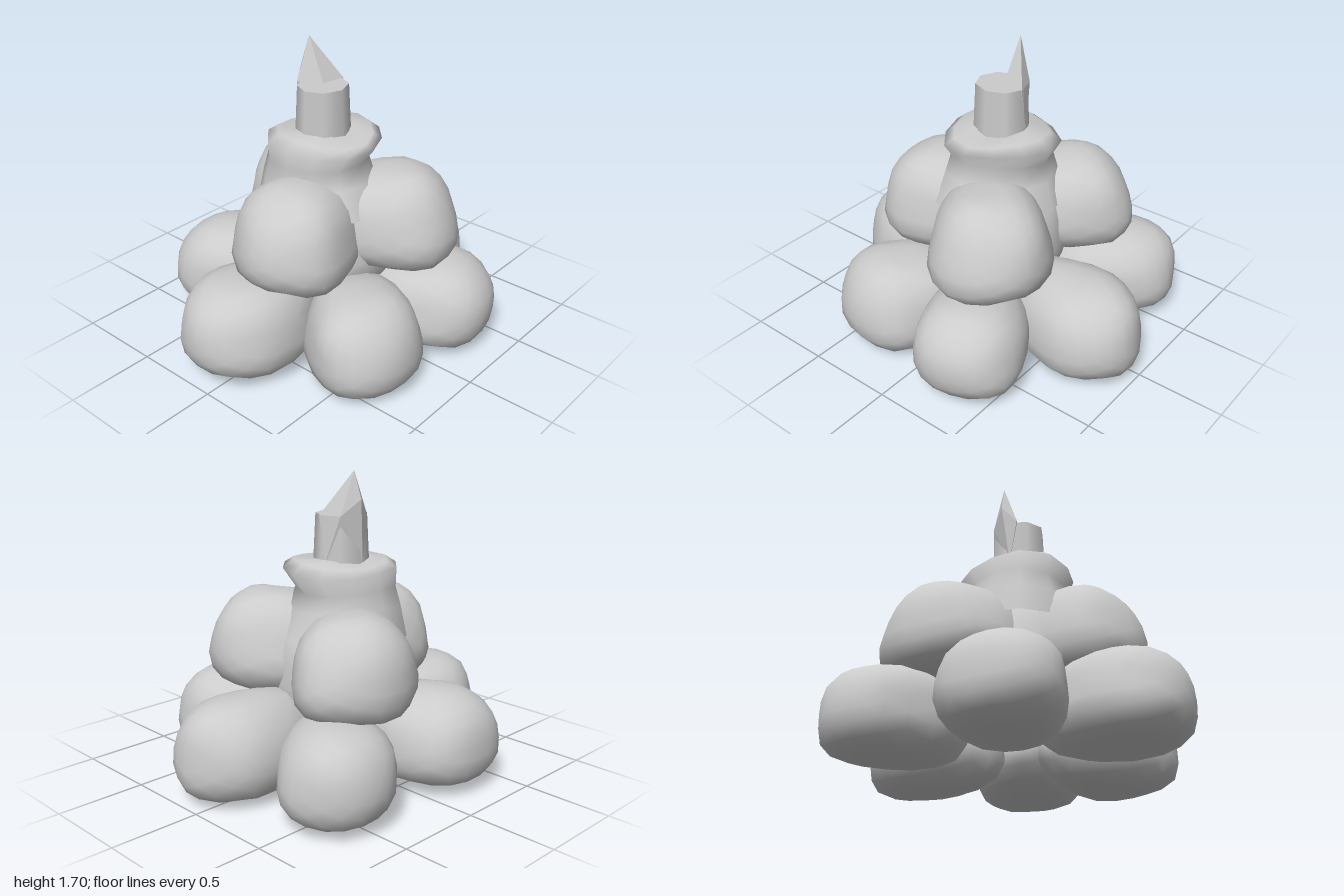
import * as THREE from 'three';
import { mergeVertices } from 'three/addons/utils/BufferGeometryUtils.js';
import { ConvexGeometry } from 'three/addons/geometries/ConvexGeometry.js';

const grey = new THREE.MeshStandardMaterial({ color: 0xcccccc, side: THREE.DoubleSide });

// A coarse lumpy ball filling the given extents: round on top, squarer below,
// narrowed upward by taper and stretched toward the model's axis by reach
function lump(name, [x0, x1], [y0, y1], [z0, z1], seed, taper, reach) {
  const geo = new THREE.IcosahedronGeometry(1, 3);
  geo.deleteAttribute('uv');
  geo.deleteAttribute('normal');
  const ball = mergeVertices(geo, 1e-4);
  const p = ball.attributes.position;
  const v = new THREE.Vector3();
  const cx = (x0 + x1) / 2, cy = (y0 + y1) / 2, cz = (z0 + z1) / 2;
  const dist = Math.hypot(cx, cz) || 1;
  for (let i = 0; i < p.count; i++) {
    v.fromBufferAttribute(p, i).normalize();
    const n = Math.sin(v.x * 4.1 + seed * 1.7) * Math.sin(v.y * 3.7 + seed) + Math.sin(v.z * 4.3 + seed * 2.3) * Math.sin(v.x * 3 - seed);
    const e = v.y < 0 ? 3.8 : 2.6;
    const k = (Math.hypot(v.x, v.z) ** e + Math.abs(v.y) ** e) ** (-1 / e);
    v.multiplyScalar(k * (1 + 0.03 * n));
    const inward = Math.max(0, -(v.x * cx + v.z * cz) / dist) * reach / dist;
    const width = 1 - taper * Math.max(0, v.y + 0.4);
    // the upper part also leans toward the axis
    const lean = 1 - inward - taper * 0.2 * Math.max(0, v.y);
    p.setXYZ(i,
      cx * lean + v.x * width * (x1 - x0) / 2,
      Math.min(y1, Math.max(y0, cy + v.y * (y1 - y0) / 2)),
      cz * lean + v.z * width * (z1 - z0) / 2);
  }
  ball.computeVertexNormals();
  const mesh = new THREE.Mesh(ball, grey);
  mesh.name = name;
  return mesh;
}

// Uneven skin from rings of [y, centreX, centreZ, radiusX, radiusZ]
function ringSkin(name, rings, sides, wobble) {
  const pos = [], idx = [];
  rings.forEach(([y, cx, cz, rx, rz], j) => {
    for (let i = 0; i < sides; i++) {
      const a = (i / sides) * Math.PI * 2;
      const w = 1 + wobble * Math.sin(a * 3 + 0.8);
      pos.push(cx + Math.cos(a) * rx * w, y + wobble * 0.25 * Math.sin(a * 2 + j), cz + Math.sin(a) * rz * w);
      if (j) {
        const k = (i + 1) % sides, b = (j - 1) * sides, t = j * sides;
        idx.push(b + i, t + i, b + k, b + k, t + i, t + k);
      }
    }
  });
  const geo = new THREE.BufferGeometry();
  geo.setAttribute('position', new THREE.Float32BufferAttribute(pos, 3));
  geo.setIndex(idx);
  geo.computeVertexNormals();
  const mesh = new THREE.Mesh(geo, grey);
  mesh.name = name;
  return mesh;
}

export function createModel() {
  const model = new THREE.Group();
  model.name = 'lumpPyramid';

  // Bottom ring of six lumps
  const lower = new THREE.Group();
  lower.name = 'lowerLumps';
  [
    ['frontLump', [-0.41, 0.26], [0.04, 0.54], [0.32, 1.0]],
    ['rightFrontLump', [-0.9, -0.3], [0.03, 0.54], [-0.1, 0.57]],
    ['leftFrontLump', [0.23, 0.82], [0, 0.52], [0.0, 0.66]],
    ['leftBackLump', [0.28, 0.9], [0.03, 0.51], [-0.6, 0.03]],
    ['backLump', [-0.23, 0.39], [0.02, 0.54], [-1.0, -0.34]],
    ['rightBackLump', [-0.86, -0.24], [0.03, 0.52], [-0.84, -0.22]],
  ].forEach((l, i) => lower.add(lump(...l, i + 1, 0.08, 0.18)));

  // Middle ring of three lumps
  const middle = new THREE.Group();
  middle.name = 'middleLumps';
  [
    ['frontMiddleLump', [-0.29, 0.41], [0.46, 1.02], [0.06, 0.7]],
    ['rightMiddleLump', [-0.72, -0.1], [0.46, 1.0], [-0.61, 0.13]],
    ['leftMiddleLump', [0.0, 0.67], [0.47, 1.02], [-0.56, 0.14]],
  ].forEach((l, i) => middle.add(lump(...l, i + 8, 0.16, 0.15)));

  // Rounded filling behind the lumps
  const core = lump('core', [-0.42, 0.38], [0.3, 0.98], [-0.4, 0.4], 3, 0.12, 0);

  // Crown rising from the middle lumps, closing around the stem
  const crown = ringSkin('crown', [
    [0.8, -0.03, 0.01, 0.38, 0.36],
    [0.96, -0.05, 0.02, 0.32, 0.31],
    [1.06, -0.06, 0.02, 0.28, 0.28],
    [1.16, -0.03, 0, 0.315, 0.325],
    [1.2, -0.03, 0, 0.27, 0.26],
    [1.21, -0.04, 0, 0.14, 0.14],
  ], 12, 0.05);

  // Stem
  const stem = new THREE.Mesh(new THREE.CylinderGeometry(0.135, 0.15, 0.32, 8), grey);
  stem.name = 'stem';
  stem.position.set(-0.045, 1.3, 0.01);
  stem.scale.z = 1.08;

  // Broad pointed leaf across the back right rim of the stem
  const leaf = new THREE.Mesh(new ConvexGeometry([
    [-0.17, 1.7, -0.02], [-0.215, 1.55, -0.01], [-0.03, 1.46, -0.14], [-0.18, 1.46, 0.07],
    [-0.05, 1.45, 0.0], [-0.07, 1.2, -0.14], [-0.19, 1.2, 0.03], [-0.15, 1.46, -0.1],
  ].map((c) => new THREE.Vector3(...c))), grey);
  leaf.name = 'leafTip';

  model.add(lower, middle, core, crown, stem, leaf);
  return model;
}
